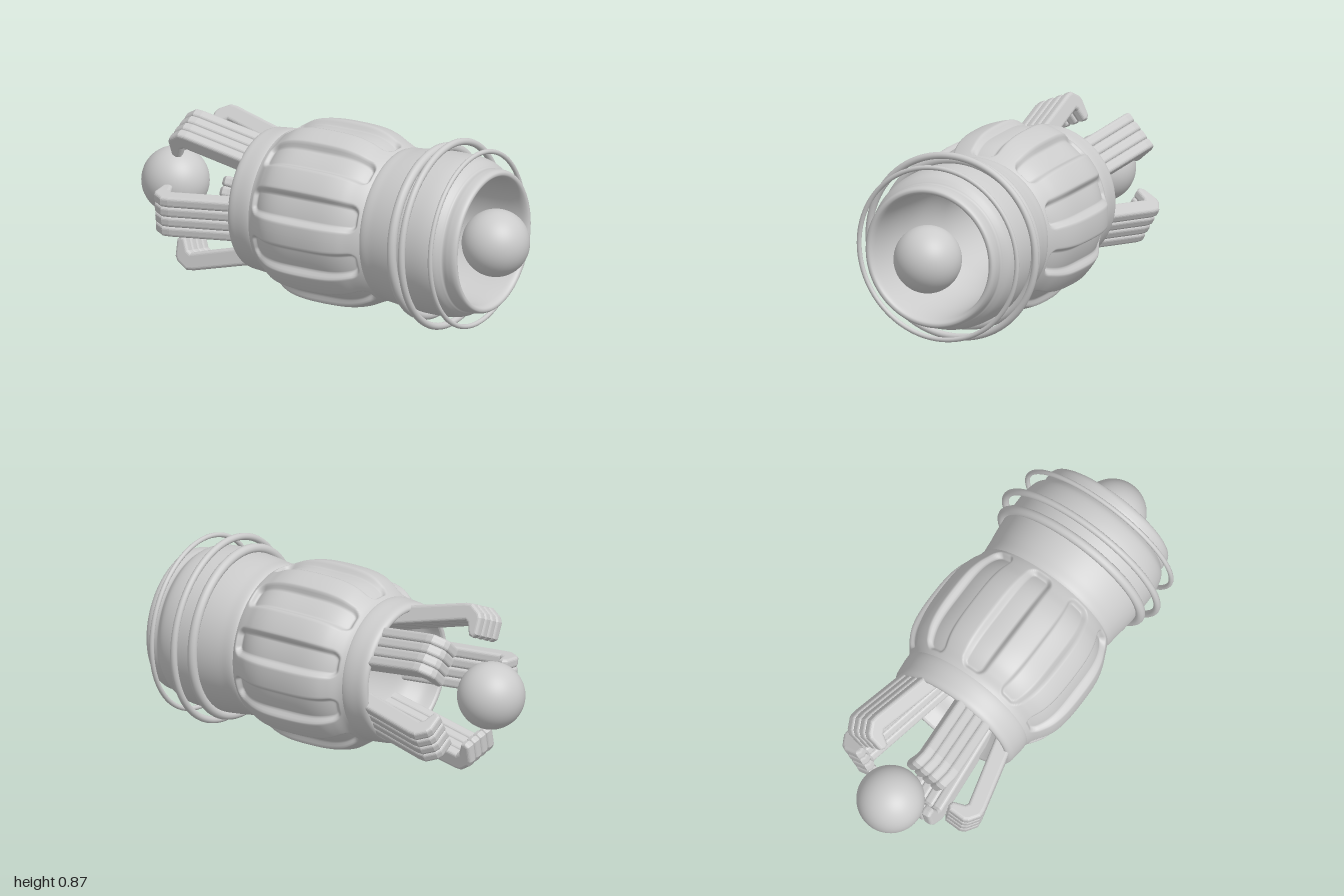
import * as THREE from 'three';

const CY = 0.437; // height of the long axis
const material = new THREE.MeshStandardMaterial({ color: 0xcccccc });

// Smooth profile through [x along axis, radius] pairs, as lathe points
function profile(pairs, samples) {
  const curve = new THREE.CatmullRomCurve3(
    pairs.map(([x, r]) => new THREE.Vector3(r, x, 0)), false, 'centripetal');
  return curve.getPoints(samples).map(p => new THREE.Vector2(p.x, p.y));
}

function mesh(name, geometry) {
  const m = new THREE.Mesh(geometry, material);
  m.name = name;
  return m;
}

// Shell: outer skin from back to front, then back through the bore
function shellGeometry() {
  const pts = profile([
    [-0.37, 0.288], [-0.378, 0.295], [-0.378, 0.308], [-0.365, 0.32], [-0.33, 0.326], [-0.25, 0.326],
    [-0.235, 0.295], [-0.1, 0.29], [0.15, 0.29], [0.315, 0.295], [0.335, 0.342], [0.4, 0.354],
    [0.5, 0.366], [0.6, 0.37], [0.68, 0.367],
    [0.73, 0.355], [0.755, 0.337], [0.765, 0.328], [0.79, 0.329], [0.82, 0.327], [0.833, 0.318],
    [0.833, 0.305], [0.82, 0.295], [0.78, 0.288], [0.62, 0.278], [0.45, 0.26], [0.32, 0.218],
    [0.25, 0.21], [-0.15, 0.21], [-0.24, 0.225], [-0.31, 0.272], [-0.37, 0.288],
  ], 190);
  return new THREE.LatheGeometry(pts, 128).rotateZ(-Math.PI / 2);
}

// Grip: bulging barrel with ten rounded windows, deepest at their ends
function gripGeometry() {
  const pts = profile([
    [-0.275, 0.322], [-0.24, 0.337], [-0.2, 0.366], [-0.15, 0.394], [-0.08, 0.411], [0.04, 0.417],
    [0.16, 0.411], [0.23, 0.394], [0.28, 0.372], [0.32, 0.353], [0.35, 0.336],
  ], 84);
  const g = new THREE.LatheGeometry(pts, 360);
  const pos = g.attributes.position;
  const pitch = Math.PI / 5;
  for (let i = 0; i < pos.count; i++) {
    const x = pos.getX(i), y = pos.getY(i), z = pos.getZ(i);
    const r = Math.hypot(x, z);
    const a = Math.atan2(x, z) + 2 * Math.PI;
    const u = Math.abs((a % pitch) - pitch / 2) * 0.37;
    const v = Math.abs(y - 0.043);
    // Distance to a rounded rectangle
    const c = 0.04, du = u - 0.066 + c, dv = v - 0.28 + c;
    const d = Math.hypot(Math.max(du, 0), Math.max(dv, 0)) + Math.min(Math.max(du, dv), 0) - c;
    const floor = Math.min(r, 0.308 + 0.076 * Math.max(0, 1 - (v / 0.28) ** 4));
    const k = floor + (r - floor) * THREE.MathUtils.smoothstep(d, -0.022, 0.003);
    pos.setXYZ(i, x * k / r, y, z * k / r);
  }
  g.computeVertexNormals();
  return g.rotateZ(-Math.PI / 2);
}

// Hooked slat: outline in (x, radius), extruded with soft edges
function slatGeometry() {
  const outline = [
    [-0.24, 0.255], [-0.655, 0.362], [-0.685, 0.365], [-0.728, 0.338], [-0.737, 0.322],
    [-0.737, 0.255], [-0.728, 0.248], [-0.72, 0.25], [-0.7, 0.3], [-0.675, 0.315], [-0.24, 0.197],
  ];
  const shape = new THREE.Shape(outline.map(([x, r]) => new THREE.Vector2(x, r)));
  return new THREE.ExtrudeGeometry(shape, {
    depth: 0.02, bevelSize: 0.015, bevelThickness: 0.015, bevelSegments: 4,
  }).translate(0, 0, -0.01);
}

export function createModel() {
  const model = new THREE.Group();
  model.name = 'model';
  const core = new THREE.Group();
  core.name = 'core';
  core.position.y = CY;
  model.add(core);

  core.add(mesh('shell', shellGeometry()), mesh('grip', gripGeometry()));

  // Rings round the front barrel: position, outer radius, tube radius
  for (const [x, outer, tube] of [[0.533, 0.405, 0.022], [0.608, 0.437, 0.016], [0.746, 0.41, 0.011]]) {
    const ring = mesh('ring', new THREE.TorusGeometry(outer - tube, tube, 14, 120).rotateY(Math.PI / 2));
    ring.position.x = x;
    core.add(ring);
  }

  // A ball at each end
  for (const side of [-1, 1]) {
    const ball = mesh(side < 0 ? 'rearBall' : 'frontBall', new THREE.SphereGeometry(0.154, 48, 32));
    ball.position.x = side * 0.846;
    core.add(ball);
  }

  // Five claws of four parallel slats, spread round the axis
  const slat = slatGeometry();
  for (let i = 0; i < 5; i++) {
    const claw = new THREE.Group();
    claw.name = 'claw';
    claw.rotation.x = Math.PI / 2 + 0.11 - i * Math.PI * 2 / 5;
    for (let j = 0; j < 4; j++) {
      const s = mesh('slat', slat);
      s.position.z = (j - 1.5) * 0.048;
      claw.add(s);
    }
    core.add(claw);
  }
  return model;
}
